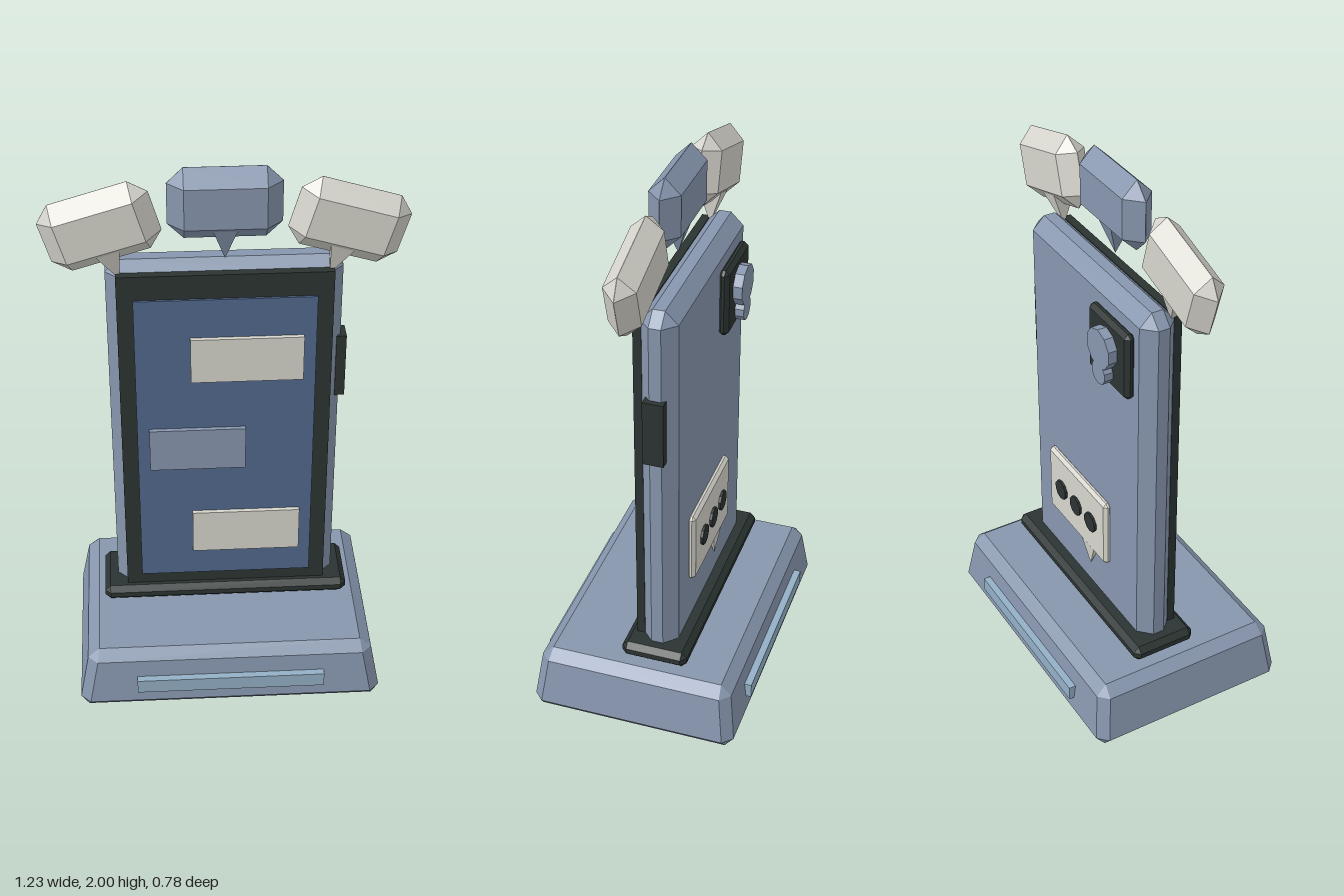
import * as THREE from 'three';
import { ConvexGeometry } from 'three/addons/geometries/ConvexGeometry.js';

const mat = (name, color) => {
  const m = new THREE.MeshStandardMaterial({ color });
  m.name = name;
  return m;
};

// Box with bevelled edges and corners; taper pulls the sides in with height
function bevelBox(w, h, d, c, taperX = 0, taperZ = 0) {
  const pts = [];
  for (const sx of [-1, 1]) for (const sy of [-1, 1]) for (const sz of [-1, 1]) {
    for (const [a, b, e] of [[0, c, c], [c, 0, c], [c, c, 0]]) {
      const y = sy * (h / 2 - b);
      const rise = y + h / 2;
      pts.push(new THREE.Vector3(sx * (w / 2 - a - rise * taperX), y, sz * (d / 2 - e - rise * taperZ)));
    }
  }
  return new ConvexGeometry(pts);
}

export function createModel() {
  const model = new THREE.Group();
  model.name = 'phoneOnStand';
  const slate = mat('slateBlue', 0x8796ae);
  const dark = mat('darkTrim', 0x2b3432);
  const navy = mat('screenBlue', 0x51688c);
  const cream = mat('cream', 0xd6d5cd);
  const sky = mat('paleBlue', 0x93b0c6);

  const add = (name, geo, material, x, y, z, parent = model) => {
    const m = new THREE.Mesh(geo, material);
    m.name = name;
    m.position.set(x, y, z);
    parent.add(m);
    return m;
  };
  // Box given by its limits on each axis, optionally bevelled
  const span = (name, material, [x0, x1], [y0, y1], [z0, z1], bevel = 0) => {
    const size = [x1 - x0, y1 - y0, z1 - z0];
    const geo = bevel ? bevelBox(...size, bevel) : new THREE.BoxGeometry(...size);
    return add(name, geo, material, (x0 + x1) / 2, (y0 + y1) / 2, (z0 + z1) / 2);
  };
  // Four-sided spike pointing down
  const spike = (halfWidth, height, depthScale = 1) => {
    const g = new THREE.ConeGeometry(halfWidth * Math.SQRT2, height, 4, 1).toNonIndexed();
    g.rotateY(Math.PI / 4);
    g.rotateX(Math.PI);
    g.scale(1, 1, depthScale);
    g.computeVertexNormals();
    return g;
  };

  // Stand
  add('base', bevelBox(1.11, 0.24, 0.765, 0.035, 0.19, 0.13), slate, 0, 0.12, 0);
  for (const s of [1, -1]) {
    add(s > 0 ? 'frontLightBar' : 'backLightBar', new THREE.BoxGeometry(0.68, 0.055, 0.05), sky, 0, 0.112, s * 0.365);
  }
  span('collar', dark, [-0.45, 0.45], [0.245, 0.305], [-0.175, 0.067], 0.02);

  // Phone body and screen
  span('phoneBody', slate, [-0.4, 0.4], [0.25, 1.652], [-0.12, 0.012], 0.045);
  span('screenFrame', dark, [-0.365, 0.365], [0.28, 1.62], [0.003, 0.033]);
  span('screen', navy, [-0.31, 0.31], [0.352, 1.53], [0.03, 0.041]);
  span('sideButton', dark, [0.385, 0.42], [1.092, 1.335], [-0.088, -0.015]);

  // Message blocks on the screen
  span('messageTop', cream, [-0.12, 0.267], [1.21, 1.382], [0.035, 0.057]);
  span('messageMiddle', slate, [-0.268, 0.07], [0.842, 1.01], [0.035, 0.057]);
  span('messageBottom', cream, [-0.12, 0.267], [0.467, 0.642], [0.035, 0.057]);

  // Camera plate with a raised keyhole shape on the back
  span('cameraPlate', dark, [-0.33, -0.078], [1.315, 1.568], [-0.152, -0.112], 0.015);
  const disc = (r, depth, sides) => {
    const g = new THREE.CylinderGeometry(r, r, depth, sides).toNonIndexed();
    g.rotateX(Math.PI / 2);
    g.computeVertexNormals();
    return g;
  };
  add('lensHead', disc(0.073, 0.04, 10), slate, -0.203, 1.465, -0.165);
  add('lensFoot', disc(0.043, 0.038, 10), slate, -0.203, 1.371, -0.165);

  // Speech plate with three dots on the back
  span('backMessage', cream, [-0.17, 0.242], [0.485, 0.76], [-0.142, -0.11], 0.012);
  add('backMessageTail', spike(0.045, 0.1, 0.28), cream, -0.04, 0.447, -0.128);
  for (let i = -1; i <= 1; i++) {
    add('messageDot', disc(0.038, 0.02, 10), dark, 0.035 + i * 0.107, 0.622, -0.141);
  }

  // Speech bubbles floating over the phone
  const bubble = (name, material, x, y, tilt) => {
    const g = new THREE.Group();
    g.name = name;
    add('bubbleBody', bevelBox(0.38, 0.255, 0.11, 0.0545), material, 0, 0, 0, g);
    add('bubbleTail', spike(0.042, 0.125), material, 0, -0.145, 0, g);
    g.position.set(x, y, 0);
    g.rotation.z = tilt;
    model.add(g);
  };
  bubble('centreBubble', slate, 0, 1.8725, 0);
  for (const s of [1, -1]) {
    bubble(s > 0 ? 'leftBubble' : 'rightBubble', cream, s * 0.41, 1.795, -s * 0.29);
  }
  return model;
}
